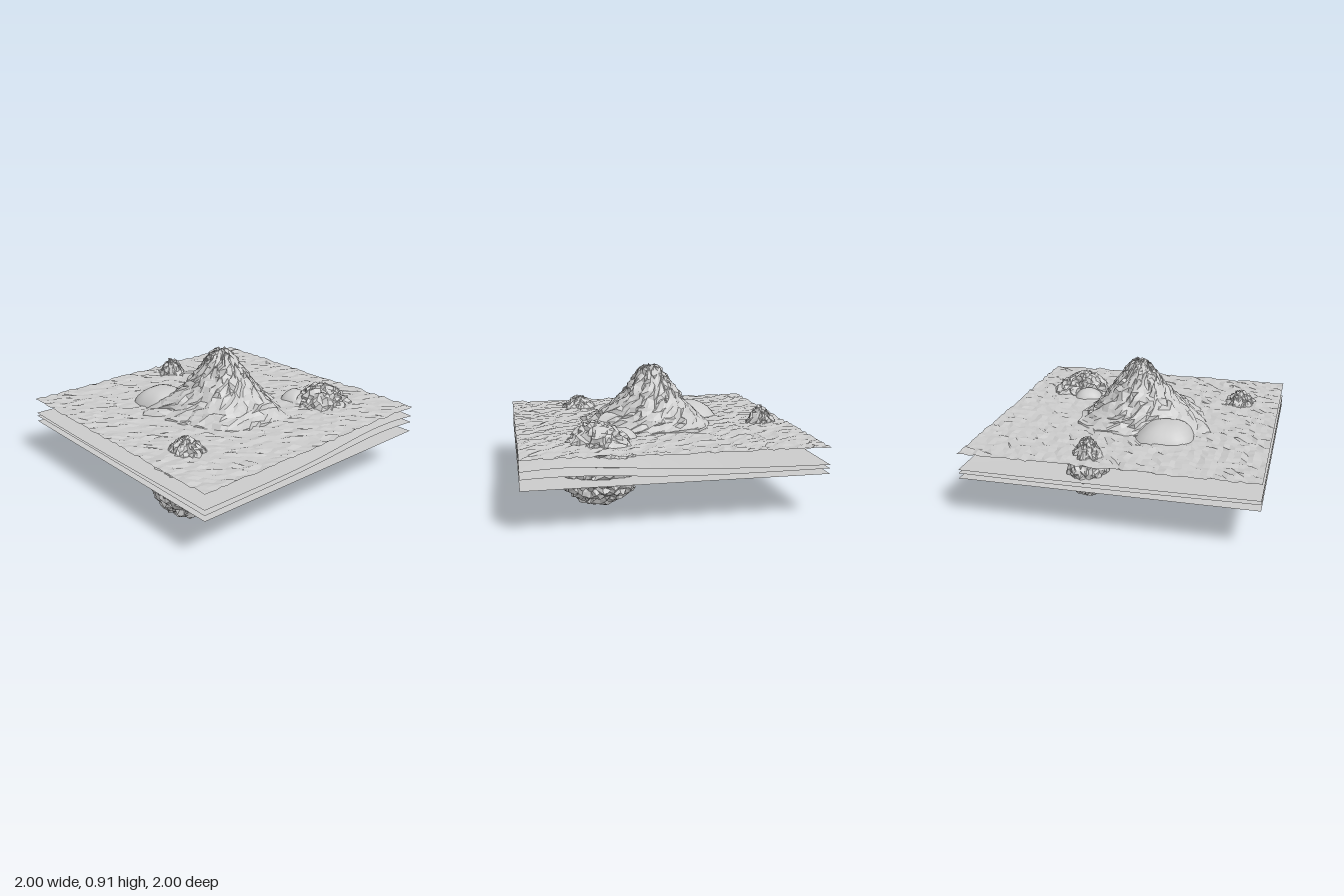
import * as THREE from 'three';

const rough = new THREE.MeshStandardMaterial({ color: 0xcccccc, flatShading: true, side: THREE.DoubleSide });
const smooth = new THREE.MeshStandardMaterial({ color: 0xcccccc, side: THREE.DoubleSide });

// Repeatable value in -1..1 for a point, so shared corners stay together
function hash(x, y, z, seed) {
  const q = (v) => Math.round(v * 1000);
  const s = Math.sin(q(x) * 12.9898 + q(y) * 78.233 + q(z) * 37.719 + seed * 4.17) * 43758.5453;
  return (s - Math.floor(s)) * 2 - 1;
}

// Moves every vertex of a geometry by a rule
function warp(geo, rule) {
  const pos = geo.attributes.position;
  const v = new THREE.Vector3();
  for (let i = 0; i < pos.count; i++) {
    v.fromBufferAttribute(pos, i);
    rule(v);
    pos.setXYZ(i, v.x, v.y, v.z);
  }
  geo.computeVertexNormals();
  return geo;
}

function add(group, name, geo, mat) {
  const mesh = new THREE.Mesh(geo, mat);
  mesh.name = name;
  group.add(mesh);
  return mesh;
}

// Linear lookup in a list of [key, value] pairs with rising keys
function lookup(table, k) {
  for (let i = 1; i < table.length; i++) {
    const [a, va] = table[i - 1], [b, vb] = table[i];
    if (k <= b) return va + (vb - va) * Math.max(0, (k - a) / (b - a));
  }
  return table[table.length - 1][1];
}

// Craggy rock: a lumpy ball narrowed towards its top
function crag({ centre, radii, taper, seed, detail, bump }) {
  return warp(new THREE.IcosahedronGeometry(1, detail), (v) => {
    const { x, y, z } = v;
    const lump = 1 + 0.04 * Math.sin(3 * x + seed) * Math.cos(3 * z - seed)
      + bump * hash(x, y, z, seed);
    const narrow = y > 0 ? 1 - taper * y : 1;
    v.set(
      centre[0] + radii[0] * x * lump * narrow + 0.012 * hash(z, x, y, seed + 3),
      centre[1] + radii[1] * y * lump,
      centre[2] + radii[2] * z * lump * narrow + 0.012 * hash(y, z, x, seed + 7)
    );
  });
}

// Smooth boulder: a rounded block, leaning with height
function boulder({ centre, radii, power, lean, turn }) {
  const geo = warp(new THREE.SphereGeometry(1, 28, 20), (v) => {
    const p = Math.pow(Math.abs(v.x) ** power + Math.abs(v.y) ** power + Math.abs(v.z) ** power, -1 / power);
    v.multiplyScalar(p);
    const narrow = v.y > 0 ? 1 - 0.3 * v.y * v.y : 1;
    v.set(v.x * radii[0] * narrow, v.y * radii[1], v.z * radii[2] * narrow);
    v.applyAxisAngle(new THREE.Vector3(0, 1, 0), turn);
    v.x += centre[0] + lean[0] * v.y;
    v.z += centre[2] + lean[1] * v.y;
    v.y += centre[1];
  });
  return geo;
}

// Gentle rise of the ground towards the back left corner
function swell(x, z) {
  return Math.exp(-((x - 0.75) ** 2 + (z + 0.65) ** 2) / 0.35);
}

function sheet(segments, height, jitter, seed) {
  const geo = new THREE.PlaneGeometry(2, 2, segments, segments).rotateX(-Math.PI / 2);
  return warp(geo, (v) => {
    const { x, z } = v;
    const inside = Math.max(Math.abs(x), Math.abs(z)) < 0.999 ? 1 : 0;
    v.x += inside * jitter * 1.6 * hash(x, 1, z, seed);
    v.z += inside * jitter * 1.2 * hash(x, 2, z, seed);
    v.y = height(x, z) + jitter * hash(x, 3, z, seed);
  });
}

// Mountain foot as seen from above, [x, z] going round
const foot = [
  [0.55, -0.21], [0.53, 0], [0.49, 0.2], [0.43, 0.34], [0.3, 0.39], [0, 0.5], [-0.23, 0.57], [-0.32, 0.48],
  [-0.35, 0.3], [-0.44, 0.08], [-0.42, -0.12], [-0.38, -0.28], [-0.27, -0.39], [0, -0.43], [0.15, -0.4], [0.36, -0.27],
];

// Distance from the axis to the foot outline in a given direction
function footRadius(dx, dz) {
  for (let i = 0; i < foot.length; i++) {
    const [ax, az] = foot[i], [bx, bz] = foot[(i + 1) % foot.length];
    const ex = bx - ax, ez = bz - az;
    const det = dx * ez - dz * ex;
    if (Math.abs(det) < 1e-9) continue;
    const r = (ax * ez - az * ex) / det;
    const s = (ax * dz - az * dx) / det;
    if (r > 0 && s >= -1e-6 && s <= 1 + 1e-6) return r;
  }
  return 0.45;
}

function mountainGeometry() {
  const heights = [[0, 0.28], [0.15, 0.45], [0.4, 0.55], [0.95, 0.88], [1, 0.882]];
  const widths = [[0.28, 0.47], [0.46, 0.45], [0.5, 0.38], [0.6, 0.275], [0.7, 0.195], [0.8, 0.12], [0.86, 0.075], [0.88, 0.05], [0.882, 0]];
  return warp(new THREE.CylinderGeometry(1, 1, 1, 52, 22, true), (v) => {
    const { x, y, z } = v;
    const y0 = lookup(heights, y + 0.5);
    const r = lookup(widths, y0);
    const blend = THREE.MathUtils.clamp((0.68 - y0) / 0.22, 0, 1);
    const shape = 1 + blend * (footRadius(x, z) / 0.45 - 1);
    const fade = y > 0.49 ? 0 : 1;
    const radius = r * shape + fade * 0.014 * hash(x, y, z, 5);
    const low = y0 < 0.3 ? 0 : 1;
    v.set(
      x * radius - z * fade * 0.016 * hash(z, y, x, 9),
      y0 + low * fade * 0.013 * hash(y, x, z, 2),
      z * radius + x * fade * 0.016 * hash(z, y, x, 9)
    );
  });
}

export function createModel() {
  const model = new THREE.Group();
  model.name = 'rockyLandscape';

  // Stacked ground layers, from the rough surface down to the flat base
  add(model, 'groundSurface', sheet(46, (x, z) => 0.457 + 0.022 * swell(x, z), 0.008, 1), rough);
  add(model, 'upperLayer', sheet(24, (x, z) => 0.345 + 0.085 * swell(x, z) + 0.008 * Math.sin(2 * x - z), 0, 2), smooth);
  add(model, 'middleLayer', sheet(24, (x, z) => 0.315 + 0.065 * swell(x, z) + 0.006 * Math.sin(2 * z + x), 0, 3), smooth);
  add(model, 'baseLayer', sheet(1, () => 0.277, 0, 4), smooth);

  add(model, 'mountain', mountainGeometry(), rough);

  // Craggy rocks set through the ground layers
  const crags = [
    { name: 'frontRock', centre: [0.46, 0.27, 0.69], radii: [0.28, 0.27, 0.24], taper: 0.5, seed: 11, detail: 10, bump: 0.06 },
    { name: 'backRock', centre: [0.47, 0.32, -0.6], radii: [0.27, 0.27, 0.265], taper: 0.12, seed: 23, detail: 10, bump: 0.07 },
    { name: 'sideRock', centre: [-0.805, 0.37, -0.16], radii: [0.14, 0.205, 0.13], taper: 0.45, seed: 37, detail: 8, bump: 0.07 },
  ];
  crags.forEach((c) => add(model, c.name, crag(c), rough));

  // Smooth boulders
  add(model, 'largeBoulder', boulder({
    centre: [-0.34, 0.33, 0.24], radii: [0.23, 0.225, 0.235], power: 3.2, lean: [-0.06, 0.2], turn: 0.15,
  }), smooth);
  add(model, 'smallBoulder', boulder({
    centre: [0.29, 0.42, -0.49], radii: [0.1, 0.11, 0.115], power: 2.8, lean: [0, 0], turn: 0.3,
  }), smooth);

  return model;
}
